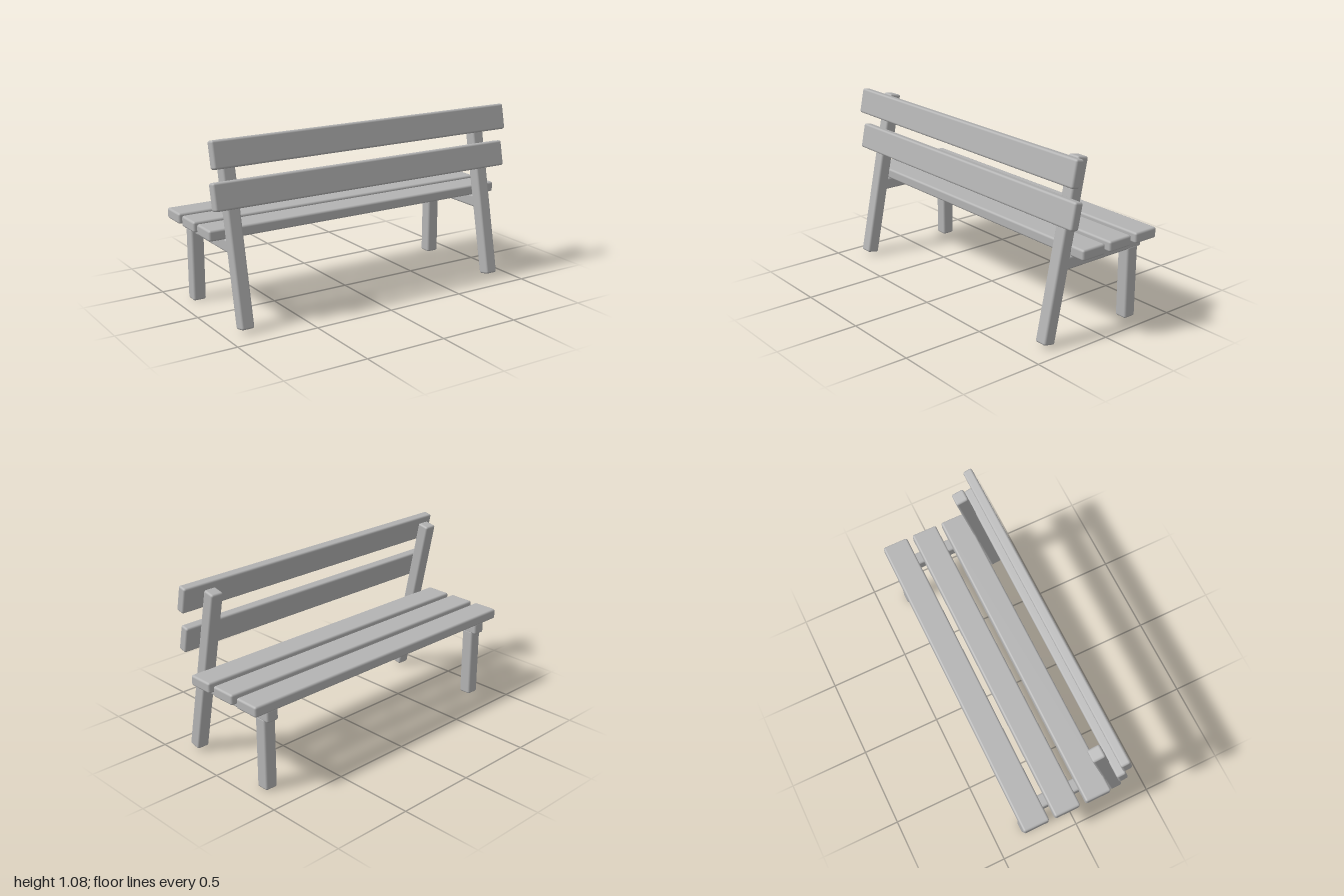
import * as THREE from 'three';
import { RoundedBoxGeometry } from 'three/addons/geometries/RoundedBoxGeometry.js';

const LEAN = -0.206; // tilt of the backrest and rear legs

export function createModel() {
  const bench = new THREE.Group();
  bench.name = 'bench';
  const grey = new THREE.MeshStandardMaterial({ color: 0xb4b4b4 });
  grey.name = 'grey wood';

  // One softly rounded timber, centred at (x, y, z) and leaning about x
  function timber(name, size, x, y, z, lean = 0) {
    const mesh = new THREE.Mesh(new RoundedBoxGeometry(...size, 2, 0.013), grey);
    mesh.name = name;
    mesh.position.set(x, y, z);
    mesh.rotation.x = lean;
    bench.add(mesh);
  }

  // Seat planks
  [0.11, -0.09, -0.29].forEach((z, i) =>
    timber(`seatPlank${i + 1}`, [2, 0.064, 0.163], 0, 0.535, z));

  // Backrest planks, fixed to the outer side of the leaning posts
  timber('lowerBackPlank', [2, 0.157, 0.058], 0, 0.768, 0.244, LEAN);
  timber('upperBackPlank', [2, 0.157, 0.058], 0, 1.001, 0.244, LEAN);

  // End frames: leaning post, upright leg and the rail joining them
  for (const [side, x] of [['left', 0.866], ['right', -0.866]]) {
    timber(`${side}BackPost`, [0.08, 1.056, 0.078], x, 0.535, 0.2265, LEAN);
    timber(`${side}UprightLeg`, [0.08, 0.445, 0.08], x, 0.2225, -0.289);
    timber(`${side}SeatRail`, [0.079, 0.077, 0.58], x, 0.468, -0.065);
  }
  return bench;
}
